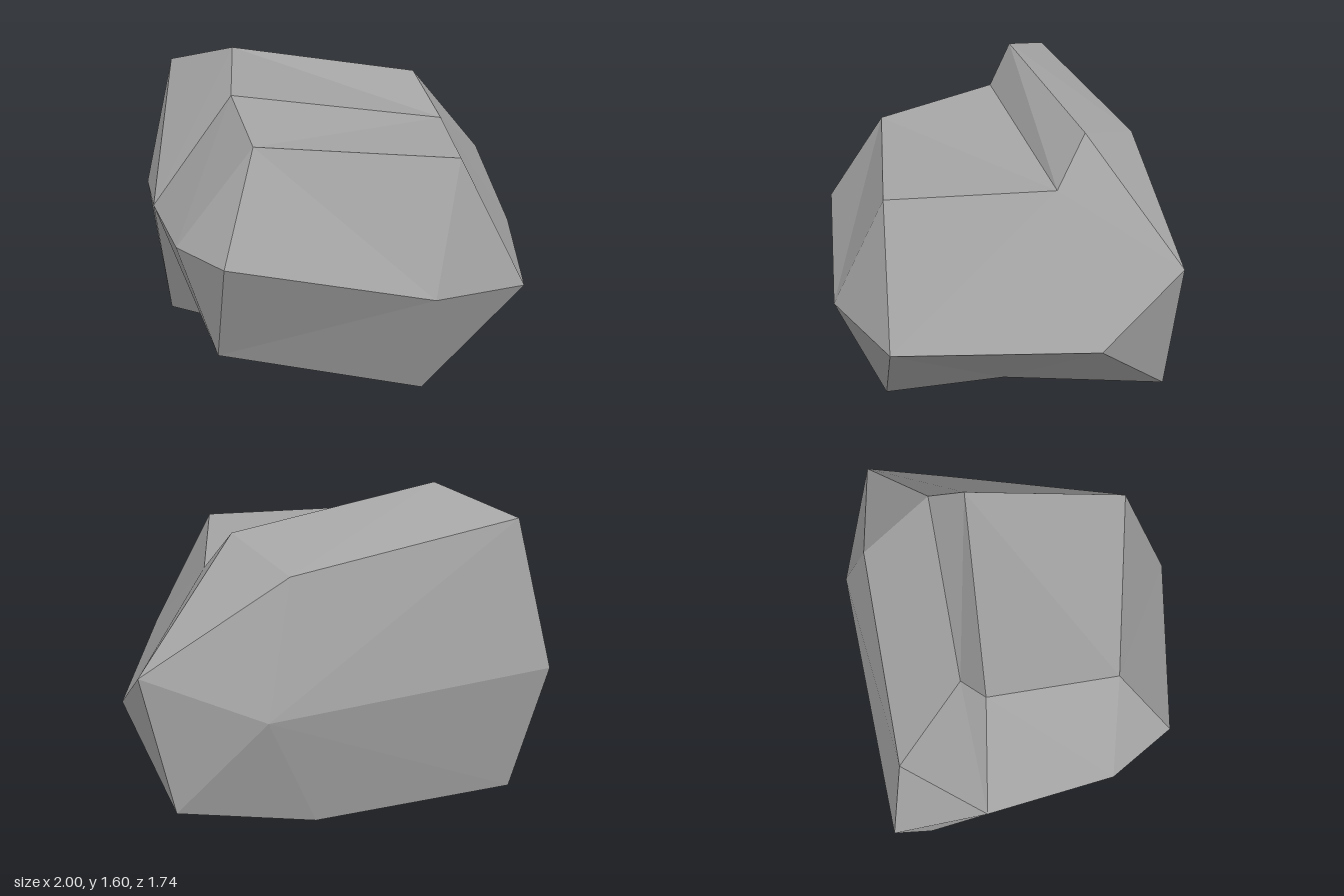
import * as THREE from 'three';

// Corners of the boulder
const corners = {
  // crown and ledge
  A: [-0.82, 1.49, -0.73], B: [-0.54, 1.595, -0.39], C: [0.455, 1.425, -0.335],
  U: [0.285, 1.32, -0.70], G: [-0.575, 1.36, -0.29], D: [0.55, 1.195, -0.145],
  E: [0.335, 1.2, 0.65], F: [-0.595, 1.25, 0.35],
  // waist
  H: [-1, 0.76, -0.40], I: [-0.97, 0.755, 0.26], J: [-0.8, 0.75, 0.61],
  K: [0.14, 0.59, 0.87], L: [0.65, 0.555, 0.75], M: [1, 0.545, -0.175],
  N: [0.975, 0.88, -0.61], W: [0.44, 0.69, -0.86], V: [-0.98, 0.755, -0.87],
  // underside
  O: [0.84, 0.15, -0.64], P: [0.28, 0, 0], Q: [0.17, 0.01, 0.63],
  R: [-0.74, 0.115, -0.30], S: [-0.8, 0.18, 0.32],
  T: [-0.9, 0.01, -0.725], X: [0.16, 0.01, -0.71],
};

// Fans of facets: the first letter is the shared corner
const fans = [
  'WNUAVTXON',                       // back
  'DCNMLEFGBC',                      // ledge and right shoulder
  'BCUAHG', 'UNC',                   // crown
  'HAVTRSIG', 'JIS',                 // left flank
  'FGIJKE', 'KJSQLE',                // front
  'MNOPL', 'PLQRXO', 'RSQ', 'RXT',   // right flank and underside
];

// Triangulate the fans, turning every facet away from the core
function facetedGeometry() {
  const core = new THREE.Vector3(0, 0.6, -0.2);
  const points = [];
  for (const fan of fans) {
    for (let i = 1; i < fan.length - 1; i++) {
      const [a, b, c] = [fan[0], fan[i], fan[i + 1]].map((k) => new THREE.Vector3(...corners[k]));
      const normal = b.clone().sub(a).cross(c.clone().sub(a));
      const outward = normal.dot(a.clone().sub(core)) > 0;
      points.push(...(outward ? [a, b, c] : [a, c, b]));
    }
  }
  const geometry = new THREE.BufferGeometry().setFromPoints(points);
  geometry.computeVertexNormals();
  return geometry;
}

export function createModel() {
  const stone = new THREE.MeshStandardMaterial({ color: 0xa3a3a3 });
  stone.name = 'stone grey';

  const boulder = new THREE.Mesh(facetedGeometry(), stone);
  boulder.name = 'boulder';

  const group = new THREE.Group();
  group.name = 'rock';
  group.add(boulder);
  return group;
}
